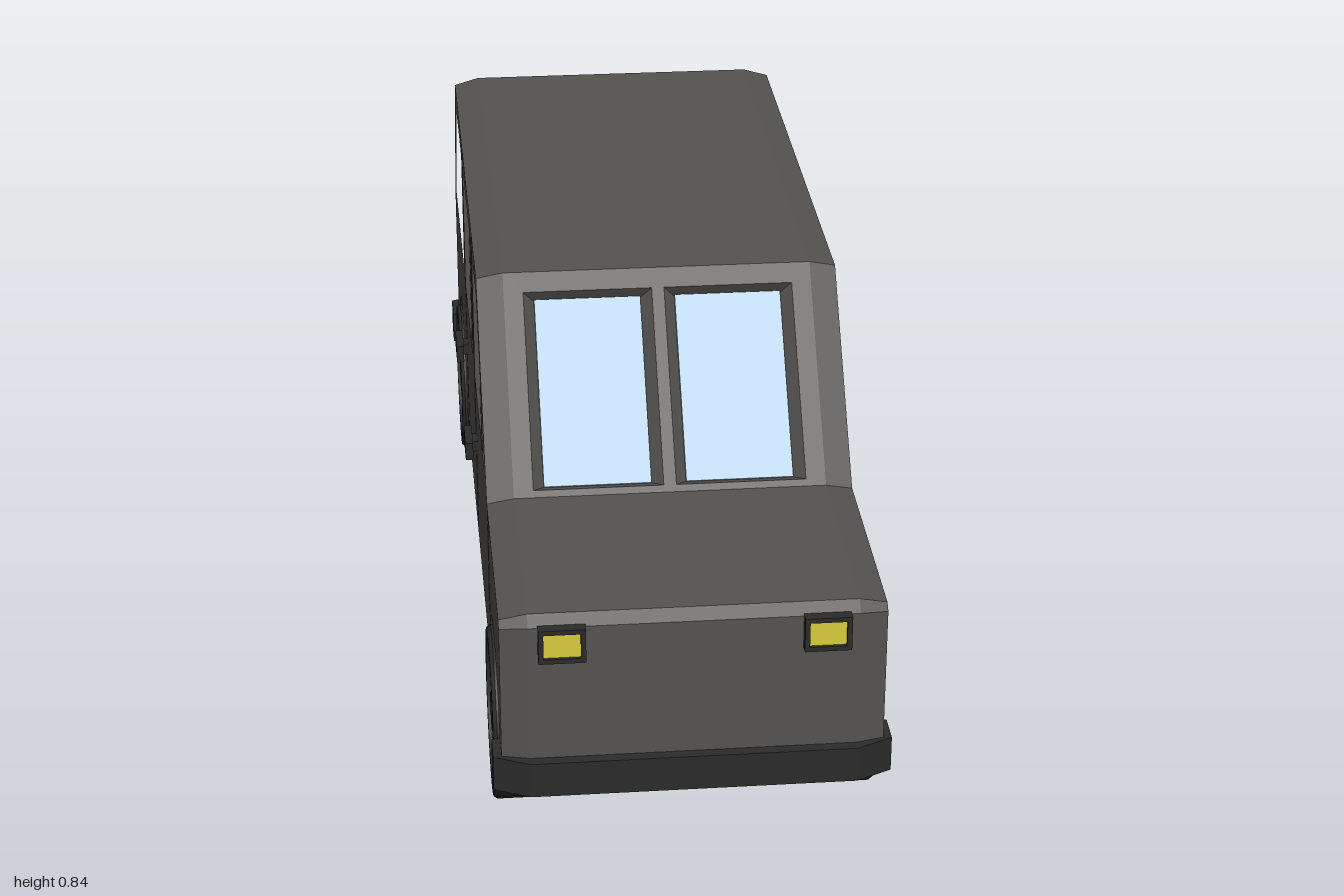
import * as THREE from 'three';
import { toCreasedNormals } from 'three/addons/utils/BufferGeometryUtils.js';

const mat = (color) => new THREE.MeshStandardMaterial({ color });
const paint = mat(0x555350), dark = mat(0x2b2b2b), glass = mat(0xb0cce4);
const yellow = mat(0xd8cc3c), red = mat(0xc03030);

const BOTTOM = 0.155, WHEELS = [0.72, -0.7];
// Ends of the sloping screens as [z, y]
const P0 = [0.55, 0.51], P1 = [0.27, 0.84], Q1 = [-0.77, 0.84], Q0 = [-0.975, 0.51];

function add(parent, name, geometry, material, x = 0, y = 0, z = 0) {
  const mesh = new THREE.Mesh(geometry, material);
  mesh.name = name;
  mesh.position.set(x, y, z);
  parent.add(mesh);
  return mesh;
}
const box = (w, h, d) => new THREE.BoxGeometry(w, h, d);

// Side-on [z, y] points; extruding then turning the result makes it grow along +x
const sidePath = (pts, Type = THREE.Shape) => new Type(pts.map(([z, y]) => new THREE.Vector2(-z, y)));
const slab = (shape, x0, x1) =>
  new THREE.ExtrudeGeometry(shape, { depth: x1 - x0, bevelEnabled: false }).rotateY(Math.PI / 2).translate(x0, 0, 0);

function sunken([az, ay], [bz, by], depth) {
  const len = Math.hypot(bz - az, by - ay);
  const nz = (by - ay) / len, ny = -(bz - az) / len;
  return [[az - nz * depth, ay - ny * depth], [bz - nz * depth, by - ny * depth]];
}

// Side outline of the body, with optional wheel arches and sunken screens
function outline(arches, depth) {
  const pts = [[0.98, BOTTOM], [0.98, 0.485], [0.96, 0.503], P0];
  if (depth) pts.push(...sunken(P0, P1, depth));
  pts.push(P1, Q1);
  if (depth) {
    const [low, high] = sunken(Q0, Q1, -depth);
    pts.push(high, low);
  }
  pts.push(Q0, [-0.975, BOTTOM]);
  if (arches) {
    for (const c of [...WHEELS].reverse()) {
      for (let i = 0; i <= 14; i++) {
        const a = Math.PI * (1 - i / 14);
        pts.push([c + 0.17 * Math.cos(a), BOTTOM + 0.17 * Math.sin(a)]);
      }
    }
  }
  return sidePath(pts);
}

const SIDE_WINDOWS = [
  [[0.5, 0.52], [0.25, 0.8], [0.07, 0.8], [0.07, 0.52]],
  [[0, 0.52], [0, 0.8], [-0.375, 0.8], [-0.375, 0.52]],
  [[-0.44, 0.52], [-0.44, 0.8], [-0.72, 0.8], [-0.9, 0.525]],
];
// Door seams: z, lower y, upper y
const SEAMS = [[0.035, 0.19, 0.81], [-0.41, 0.19, 0.81], [0.565, 0.29, 0.48]];

// Outer side skin with flared window openings and seam grooves
function sidePanel() {
  const shape = outline(true, 0);
  const seamHoles = SEAMS.map(([z, a, b]) => [[z - 0.0025, a], [z - 0.0025, b], [z + 0.0025, b], [z + 0.0025, a]]);
  for (const hole of [...SIDE_WINDOWS, ...seamHoles]) shape.holes.push(sidePath(hole, THREE.Path));
  const geo = new THREE.ExtrudeGeometry(shape, {
    depth: 0.01, bevelThickness: 0.05, bevelSize: 0.012, bevelOffset: -0.012, bevelSegments: 1,
  });
  const p = geo.attributes.position;
  for (let i = 0; i < p.count; i++) p.setZ(i, Math.max(0, p.getZ(i))); // flat on the inside
  geo.rotateY(Math.PI / 2).translate(0.28, 0, 0);
  geo.computeVertexNormals();
  return geo;
}

// Sloping screen: frame with two flared openings and panes set behind
function screen(name, low, high, facing) {
  const g = new THREE.Group();
  g.name = name;
  const len = Math.hypot(high[0] - low[0], high[1] - low[1]);
  const s0 = len * 0.06, s1 = len * 0.88, mid = (s0 + s1) / 2, depth = 0.03;
  const rect = (Type, x0, y0, x1, y1) => new Type(
    [[x0, y0], [x1, y0], [x1, y1], [x0, y1]].map((q) => new THREE.Vector2(...q)));
  const shape = rect(THREE.Shape, -0.28, 0, 0.28, len);
  shape.holes.push(rect(THREE.Path, 0.035, s0, 0.23, s1), rect(THREE.Path, -0.23, s0, -0.035, s1));
  const geo = new THREE.ExtrudeGeometry(shape, { depth, bevelEnabled: false });
  const p = geo.attributes.position;
  for (let i = 0; i < p.count; i++) {
    const x = p.getX(i), c = Math.sign(x) * 0.1325;
    if (p.getZ(i) > depth / 2 && Math.abs(x) < 0.25) {
      p.setX(i, c + (x - c) * 1.24);
      p.setY(i, mid + (p.getY(i) - mid) * 1.07);
    }
  }
  geo.computeVertexNormals();
  add(g, name + 'Frame', geo.translate(0, 0, -depth), paint);
  for (const s of [-1, 1]) add(g, name + 'Pane', box(0.2, s1 - s0 + 0.005, 0.012), glass, s * 0.1325, mid, -depth + 0.006);
  g.position.set(0, low[1], low[0]);
  g.rotation.order = 'YXZ';
  g.rotation.y = facing > 0 ? 0 : Math.PI;
  g.rotation.x = -Math.atan2(Math.abs(high[0] - low[0]), high[1] - low[1]);
  return g;
}

// Wheel along +x: tyre, dished face, hub and thin spokes
function wheel() {
  const g = new THREE.Group();
  g.name = 'wheel';
  const profile = [[0, 0.235], [0.155, 0.235], [0.16, 0.24], [0.16, 0.343], [0.155, 0.35], [0.135, 0.35], [0.13, 0.33], [0, 0.33]];
  const tyre = new THREE.LatheGeometry(profile.map((q) => new THREE.Vector2(...q)), 32).rotateZ(-Math.PI / 2);
  add(g, 'tyre', toCreasedNormals(tyre, 0.6), dark);
  add(g, 'hub', new THREE.CylinderGeometry(0.036, 0.04, 0.025, 20).rotateZ(-Math.PI / 2), dark, 0.335);
  for (let i = 0; i < 20; i++) {
    const spoke = add(g, 'spoke', box(0.016, 0.1, 0.009).translate(0, 0.083, 0), dark, 0.335);
    spoke.rotation.x = (i / 20) * Math.PI * 2;
  }
  return g;
}

// Bumper with clipped outer corners in plan
function bumper(depth) {
  const pts = [[-0.355, 0], [0.355, 0], [0.355, depth - 0.03], [0.29, depth], [-0.29, depth], [-0.355, depth - 0.03]];
  const shape = new THREE.Shape(pts.map(([x, z]) => new THREE.Vector2(x, -z)));
  return new THREE.ExtrudeGeometry(shape, { depth: 0.068, bevelEnabled: false }).rotateX(-Math.PI / 2);
}

// Lamp: dark housing of four bars around a coloured lens
function lamp(parent, name, w, h, x, y, z, dir, material) {
  const g = new THREE.Group();
  g.name = name;
  const t = 0.009, d = 0.03;
  for (const s of [-1, 1]) {
    add(g, 'lampRim', box(w + 2 * t, t, d), dark, 0, s * (h + t) / 2);
    add(g, 'lampRim', box(t, h, d), dark, s * (w + t) / 2);
  }
  add(g, 'lens', box(w, h, 0.02), material, 0, 0, -dir * 0.001);
  g.position.set(x, y, z);
  parent.add(g);
}

// Everything on the +x side
function side() {
  const g = new THREE.Group();
  g.name = 'side';
  add(g, 'bodySide', sidePanel(), paint);
  add(g, 'wheelWells', slab(outline(true, 0.03), 0.14, 0.28), paint);
  for (const w of SIDE_WINDOWS) add(g, 'sideWindow', slab(sidePath(w), 0.275, 0.292), glass);
  for (const [z, a, b] of SEAMS) add(g, 'doorSeam', box(0.05, b - a + 0.02, 0.028), paint, 0.304, (a + b) / 2, z);
  for (const z of [0.115, -0.33]) {
    add(g, 'handleStem', box(0.03, 0.022, 0.035), dark, 0.345, 0.407, z);
    add(g, 'doorHandle', box(0.015, 0.036, 0.08), dark, 0.3575, 0.407, z);
  }
  for (const z of WHEELS) {
    const w = wheel();
    w.position.set(0, 0.16, z);
    g.add(w);
  }
  lamp(g, 'headlight', 0.065, 0.048, 0.232, 0.455, 0.982, 1, yellow);
  lamp(g, 'tailLight', 0.095, 0.032, 0.225, 0.302, -0.98, -1, red);
  return g;
}

export function createModel() {
  const car = new THREE.Group();
  car.name = 'car';
  add(car, 'bodyCore', slab(outline(false, 0.03), -0.14, 0.14), paint);
  car.add(screen('windshield', P0, P1, 1), screen('rearScreen', Q0, Q1, -1));
  for (const s of [1, -1]) {
    const half = side();
    half.scale.x = s;
    car.add(half);
  }
  add(car, 'frontBumper', bumper(0.09), dark, 0, 0.153, 0.91);
  add(car, 'rearBumper', bumper(0.105), dark, 0, 0.153, -0.895).rotation.y = Math.PI;
  return car;
}
